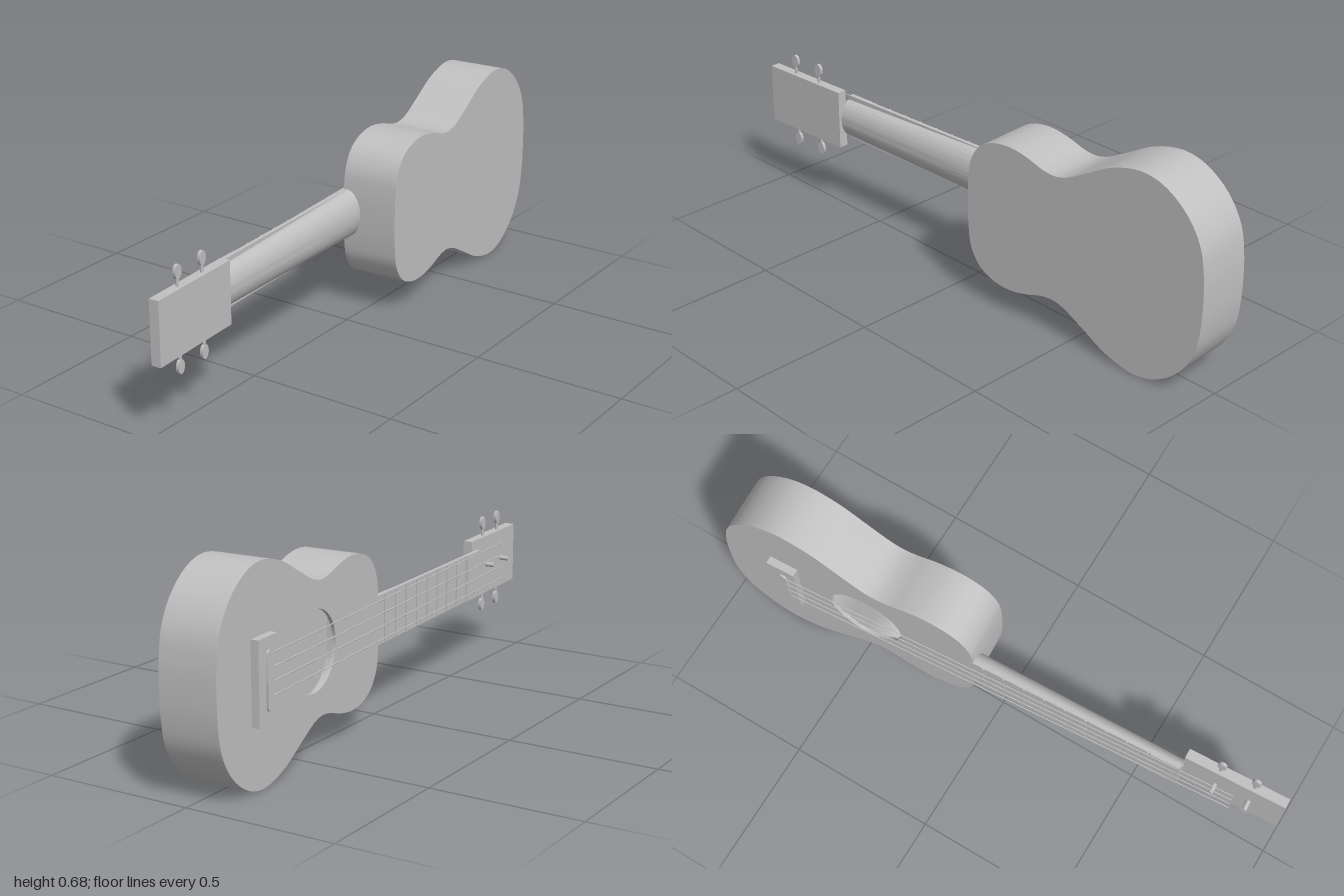
import * as THREE from 'three';
import { toCreasedNormals } from 'three/addons/utils/BufferGeometryUtils.js';

export function createModel() {
  const model = new THREE.Group();
  model.name = 'ukulele';
  // Instrument frame: z along the strings, y across, soundboard facing -x.
  const body = new THREE.Group();
  body.name = 'instrument';
  body.position.y = 0.341;
  body.rotation.y = 0.051;
  model.add(body);

  const grey = new THREE.MeshStandardMaterial({ color: 0xc0c0c0 });
  grey.name = 'plain grey';

  function add(name, geometry, x = 0, y = 0, z = 0) {
    const mesh = new THREE.Mesh(geometry, grey);
    mesh.name = name;
    mesh.position.set(x, y, z);
    body.add(mesh);
    return mesh;
  }
  const box = (name, x0, x1, y0, y1, z0, z1) => add(name,
    new THREE.BoxGeometry(x1 - x0, y1 - y0, z1 - z0), (x0 + x1) / 2, (y0 + y1) / 2, (z0 + z1) / 2);

  // Extrudes a (z, y) shape between two depths in x.
  function slab(name, shape, x0, x1) {
    const g = new THREE.ExtrudeGeometry(shape, { depth: x1 - x0, bevelEnabled: false, curveSegments: 32 });
    g.rotateY(-Math.PI / 2);
    g.translate(x1, 0, 0);
    return add(name, toCreasedNormals(g, 0.6));
  }

  // Round bar between two points.
  function rod(name, a, b, radius, sides = 10) {
    const from = new THREE.Vector3(...a), to = new THREE.Vector3(...b);
    const dir = to.clone().sub(from);
    const mesh = add(name, new THREE.CylinderGeometry(radius, radius, dir.length(), sides));
    mesh.position.copy(from).addScaledVector(dir, 0.5);
    mesh.quaternion.setFromUnitVectors(new THREE.Vector3(0, 1, 0), dir.normalize());
    return mesh;
  }

  // Body outline: half profile of [z, half width], mirrored into a closed curve.
  const half = [
    [-0.079, 0.09], [-0.09, 0.155], [-0.125, 0.21], [-0.18, 0.24], [-0.25, 0.249],
    [-0.32, 0.238], [-0.385, 0.218], [-0.43, 0.213], [-0.475, 0.223], [-0.555, 0.265],
    [-0.65, 0.316], [-0.75, 0.34], [-0.82, 0.33], [-0.885, 0.295], [-0.94, 0.24],
    [-0.977, 0.17], [-0.992, 0.09],
  ];
  const loop = [[-0.076, 0], ...half, [-0.996, 0], ...half.map(([z, y]) => [z, -y]).reverse()];
  const curve = new THREE.CatmullRomCurve3(loop.map(([z, y]) => new THREE.Vector3(z, y, 0)), true);
  const outline = curve.getPoints(140).slice(0, -1).map(p => new THREE.Vector2(p.x, p.y));
  const inner = outline.map(p => new THREE.Vector2(-0.54 + (p.x + 0.54) * 0.97, p.y * 0.96));

  // Hollow body: back, sides and soundboard with its hole
  slab('back', new THREE.Shape(outline), 0.122, 0.134);
  const rim = new THREE.Shape(outline);
  rim.holes.push(new THREE.Path(inner));
  slab('sides', rim, -0.047, 0.122);
  const top = new THREE.Shape(outline);
  top.holes.push(new THREE.Path().absarc(-0.475, 0, 0.13, 0, Math.PI * 2, true));
  slab('soundboard', top, -0.059, -0.047);

  // Bridge and rounded saddle
  box('bridge', -0.085, -0.058, -0.137, 0.124, -0.82, -0.72);
  const saddle = new THREE.Shape();
  saddle.absarc(-0.765, 0.07, 0.016, 0, Math.PI, false);
  saddle.absarc(-0.765, -0.084, 0.016, Math.PI, Math.PI * 2, false);
  slab('saddle', saddle, -0.091, -0.084);

  // Neck: half ellipse, narrowing and thinning towards the head
  const section = new THREE.Shape();
  section.absellipse(0, 0, 0.05, 0.081, -Math.PI / 2, Math.PI / 2, false);
  section.closePath();
  const neck = new THREE.ExtrudeGeometry(section, { depth: 0.74, bevelEnabled: false, curveSegments: 24, steps: 8 });
  const p = neck.attributes.position;
  for (let i = 0; i < p.count; i++) {
    const t = p.getZ(i) / 0.74;
    p.setXY(i, p.getX(i) * (1.05 - 0.22 * t), p.getY(i) * (1 - 0.2 * t));
  }
  add('neck', toCreasedNormals(neck, 0.6), -0.048, 0.002, -0.082);

  // Fretboard, nut block and frets
  box('fretboard', -0.06, -0.047, -0.079, 0.083, -0.09, 0.655);
  for (let i = 0; i < 9; i++) {
    const z = -0.04 + i * 0.073;
    box('fret', -0.064, -0.059, -0.079, 0.083, z - 0.0025, z + 0.0025);
  }
  box('nut', -0.063, -0.059, -0.079, 0.083, 0.555, 0.655);

  // Headstock with string posts and tuning pegs
  box('headstock', -0.029, 0.004, -0.098, 0.108, 0.655, 0.999);
  for (const z of [0.77, 0.887]) {
    rod('stringPost', [-0.062, 0.005, z], [-0.028, 0.005, z], 0.008, 16);
    for (const side of [1, -1]) {
      rod('pegStem', [-0.013, 0.005 + side * 0.1, z], [-0.013, 0.005 + side * 0.15, z], 0.005, 12);
      const knob = add('pegKnob', new THREE.CylinderGeometry(1, 1, 1, 24), -0.013, 0.005 + side * 0.148, z);
      knob.rotation.z = Math.PI / 2;
      knob.scale.set(0.023, 0.01, 0.015);
    }
  }

  // Strings
  for (const y of [0.073, 0.03, -0.013, -0.056]) {
    rod('string', [-0.089, y, -0.775], [-0.059, y, 0.84], 0.002, 8);
  }

  return model;
}
